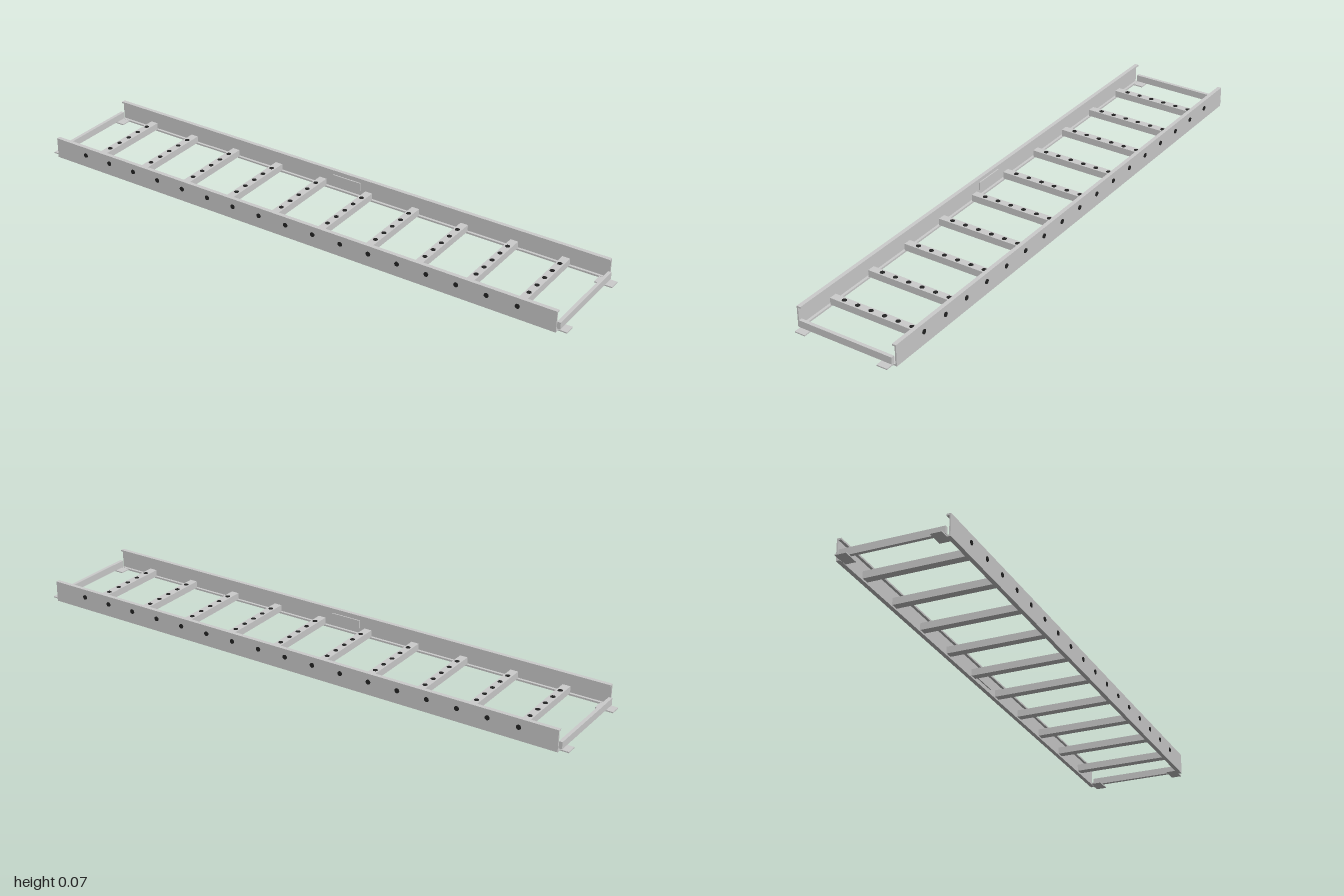
import * as THREE from 'three';

const grey = new THREE.MeshStandardMaterial({ color: 0xcccccc });
const dark = new THREE.MeshStandardMaterial({ color: 0x222222 });

function add(parent, name, geometry, material, x, y, z) {
  const mesh = new THREE.Mesh(geometry, material);
  mesh.name = name;
  mesh.position.set(x, y, z);
  parent.add(mesh);
  return mesh;
}

// C-shaped channel, open towards the middle of the tray
function railGeometry(side) {
  const length = 1.94, outer = 0.181, web = 0.176, lip = 0.167, top = 0.073, t = 0.006;
  const points = [[outer, 0], [outer, top], [lip, top], [lip, top - t], [web, top - t], [web, t], [lip, t], [lip, 0]];
  const shape = new THREE.Shape(points.map(([z, y]) => new THREE.Vector2(-side * z, y)));
  const geometry = new THREE.ExtrudeGeometry(shape, { depth: length, bevelEnabled: false });
  geometry.translate(0, 0, -length / 2);
  geometry.rotateY(Math.PI / 2);
  // the turn maps shape x to -z, so +side ends up at +z
  return geometry;
}

export function createModel() {
  const model = new THREE.Group();
  model.name = 'cableTray';

  // Side rails with their bolts and inner splice plates
  const boltGeometry = new THREE.CylinderGeometry(0.008, 0.008, 0.005, 16);
  boltGeometry.rotateX(Math.PI / 2);
  for (const side of [1, -1]) {
    const rail = new THREE.Group();
    rail.name = side > 0 ? 'frontRail' : 'backRail';
    model.add(rail);
    add(rail, 'railChannel', railGeometry(side), grey, 0, 0, 0);
    add(rail, 'splicePlate', new THREE.BoxGeometry(0.11, 0.028, 0.005), grey, 0, 0.038, side * 0.1745);
    for (let i = -8; i <= 8; i++) {
      add(rail, 'railBolt', boltGeometry, dark, i * 0.105, 0.045, side * 0.181);
    }
  }

  // Rungs with a row of dark holes on top
  const rungGeometry = new THREE.BoxGeometry(0.027, 0.024, 0.338);
  const holeGeometry = new THREE.CylinderGeometry(0.008, 0.008, 0.002, 16);
  for (let i = 0; i < 10; i++) {
    const rung = new THREE.Group();
    rung.name = 'rung';
    rung.position.x = -0.823 + i * 1.646 / 9;
    model.add(rung);
    add(rung, 'rungBar', rungGeometry, grey, 0, 0.019, 0);
    for (let j = 0; j < 6; j++) {
      add(rung, 'rungHole', holeGeometry, dark, 0, 0.031, -0.125 + j * 0.05);
    }
  }

  // End bars and the flat mounting feet at the corners
  for (const end of [1, -1]) {
    add(model, 'endBar', new THREE.BoxGeometry(0.012, 0.024, 0.338), grey, end * 0.972, 0.019, 0);
    for (const side of [1, -1]) {
      add(model, 'mountingFoot', new THREE.BoxGeometry(0.06, 0.004, 0.037), grey, end * 0.97, 0.003, side * 0.15);
    }
  }

  return model;
}
